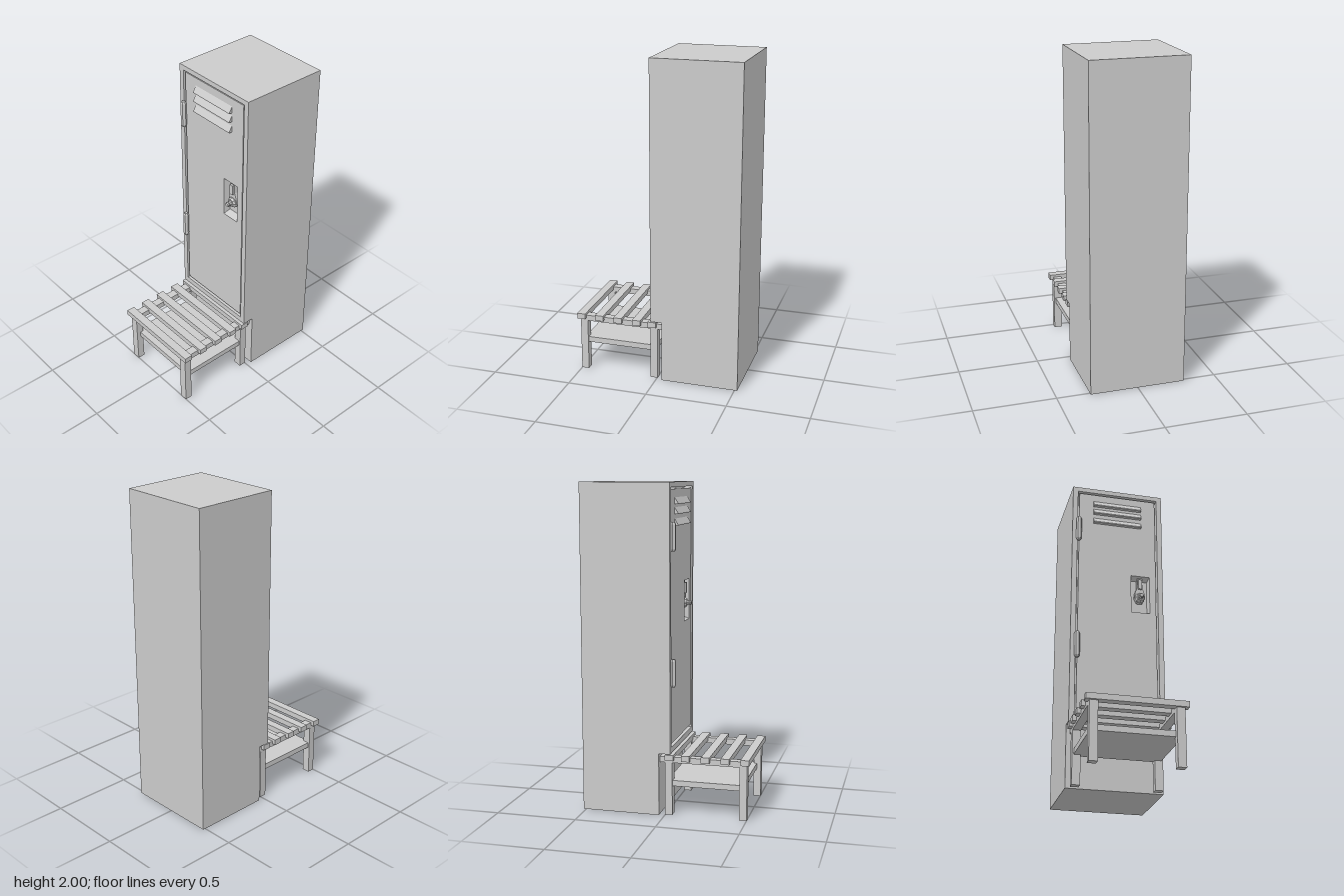
import * as THREE from 'three';

const mat = new THREE.MeshStandardMaterial({ color: 0xcccccc, flatShading: true, side: THREE.DoubleSide });

function add(parent, name, geometry) {
  const mesh = new THREE.Mesh(geometry, mat);
  mesh.name = name;
  parent.add(mesh);
  return mesh;
}

// Box given by its min and max on each axis
function box(parent, name, x0, x1, y0, y1, z0, z1) {
  const mesh = add(parent, name, new THREE.BoxGeometry(x1 - x0, y1 - y0, z1 - z0));
  mesh.position.set((x0 + x1) / 2, (y0 + y1) / 2, (z0 + z1) / 2);
  return mesh;
}

function rectPoints(x0, x1, y0, y1) {
  return [[x0, y0], [x1, y0], [x1, y1], [x0, y1]].map(([x, y]) => new THREE.Vector2(x, y));
}

// Rectangular panel with a rectangular opening, from z0 to z1
function panel(parent, name, outer, hole, z0, z1) {
  const shape = new THREE.Shape(rectPoints(...outer));
  shape.holes.push(new THREE.Path(rectPoints(...hole)));
  const geo = new THREE.ExtrudeGeometry(shape, { depth: z1 - z0, bevelEnabled: false });
  geo.translate(0, 0, z0);
  return add(parent, name, geo);
}

// Side profile (z, y) extruded across x
function profileX(parent, name, points, x0, x1) {
  const shape = new THREE.Shape(points.map(([z, y]) => new THREE.Vector2(-z, y)));
  const geo = new THREE.ExtrudeGeometry(shape, { depth: x1 - x0, bevelEnabled: false });
  geo.rotateY(Math.PI / 2);
  geo.translate(x0, 0, 0);
  return add(parent, name, geo);
}

function buildLocker() {
  const g = new THREE.Group();
  g.name = 'locker';
  const W = 0.295, inner = -0.015, front = 0.035, doorFace = 0.029;

  // Cabinet with a set-back base, and the frame around the door
  profileX(g, 'cabinet', [[-0.517, 0], [-0.035, 0], [-0.035, 0.385], [inner, 0.385],
    [inner, 2], [-0.517, 2]], -W, W);
  panel(g, 'doorFrame', [-W, W, 0.385, 2], [-0.262, 0.262, 0.42, 1.97], inner, front);

  // Door with an opening for the latch
  panel(g, 'door', [-0.251, 0.251, 0.436, 1.959], [0.09, 0.21, 1.14, 1.395], inner, doorFace);
  const cup = new THREE.CylinderGeometry(Math.SQRT1_2, Math.SQRT1_2 * 0.87, 1, 4, 1, true);
  cup.rotateY(Math.PI / 4).rotateX(Math.PI / 2).scale(0.12, 0.255, doorFace - inner);
  add(g, 'latchRecess', cup).position.set(0.15, 1.2675, (doorFace + inner) / 2);

  // Sloping vent louvres
  for (const y of [1.87, 1.812, 1.745]) {
    profileX(g, 'ventLouvre', [[0.02, y], [0.05, y], [0.05, y + 0.006],
      [doorFace, y + 0.04], [0.02, y + 0.04]], -0.158, 0.156);
  }

  // Hexagonal hinge barrels with tapered ends
  const r = 0.018, h = 0.085;
  const barrel = [[0, -h], [0.011, -h], [r, -h + 0.013], [r, h - 0.013], [0.011, h], [0, h]]
    .map(([x, y]) => new THREE.Vector2(x, y));
  for (const y of [0.875, 1.685]) {
    const hinge = add(g, 'hinge', new THREE.LatheGeometry(barrel, 6));
    hinge.rotation.y = Math.PI / 2;
    hinge.position.set(-0.255, y, 0.045);
  }

  // Latch handle, collar and lock knob
  const latch = new THREE.Group();
  latch.name = 'latch';
  latch.position.set(0.15, 1.25, 0);
  g.add(latch);
  const outline = [[-0.015, 0.138], [-0.018, 0.07], [-0.032, 0.03], [-0.034, 0], [-0.018, -0.032]];
  const handle = new THREE.Shape([...outline, ...outline.map(([x, y]) => [-x, y]).reverse()]
    .map(([x, y]) => new THREE.Vector2(x, y)));
  const handleGeo = new THREE.ExtrudeGeometry(handle, { depth: 0.025, bevelEnabled: false });
  add(latch, 'latchHandle', handleGeo).position.z = -0.012;
  box(latch, 'latchTongue', -0.012, 0.012, 0.06, 0.125, 0.01, 0.026);
  const collar = [[0, 0], [0.033, 0], [0.033, 0.018], [0.024, 0.03], [0.016, 0.03],
    [0.013, 0.045], [0.017, 0.052], [0.011, 0.06], [0, 0.06]].map(([x, y]) => new THREE.Vector2(x, y));
  const knob = add(latch, 'lockKnob', new THREE.LatheGeometry(collar, 8));
  knob.rotation.x = Math.PI / 2;
  return g;
}

function buildBench() {
  const g = new THREE.Group();
  g.name = 'bench';

  // Seat slats
  for (const z of [0.028, 0.128, 0.25, 0.371, 0.49]) {
    box(g, 'slat', -0.295, 0.295, 0.345, 0.38, z - 0.026, z + 0.026);
  }

  // Side rails and legs
  for (const s of [-1, 1]) {
    const x0 = s > 0 ? 0.222 : -0.272;
    box(g, 'sideRail', x0, x0 + 0.05, 0.328, 0.364, -0.033, 0.5);
    for (const z of [0.455, -0.003]) {
      box(g, 'leg', x0, x0 + 0.05, 0, 0.345, z, z + 0.046);
    }
  }

  // Lower shelf
  box(g, 'shelf', -0.262, 0.262, 0.18, 0.215, 0.01, 0.475);
  return g;
}

export function createModel() {
  const model = new THREE.Group();
  model.name = 'lockerWithBench';
  model.add(buildLocker(), buildBench());
  return model;
}
